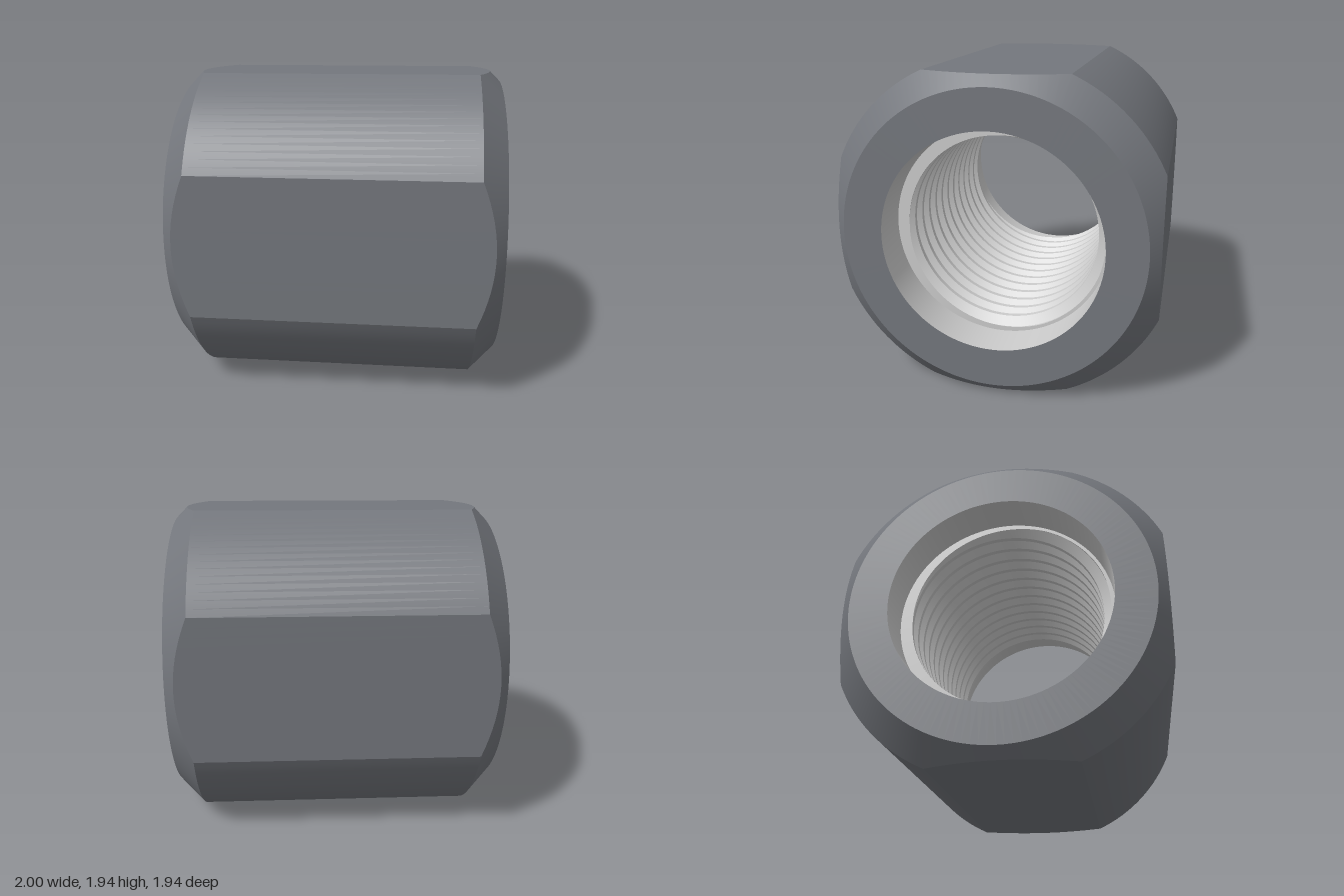
import * as THREE from 'three';
import { toCreasedNormals } from 'three/addons/utils/BufferGeometryUtils.js';

const FLAT = 0.968;        // half distance across the flats
const ROUND = 1.06;        // radius of the rounded corners
const FACE = 0.905;        // outer radius of the flat end faces
const BORE = 0.665;        // counterbore radius
const THREAD_END = 0.75;   // thread runs from -x to +x of this
const MINOR = 0.59, MAJOR = 0.645, PITCH = 0.12;

// Angles that land exactly on the borders between flats and rounded corners
function sectionAngles(n) {
  const a = Math.acos(FLAT / ROUND), angles = [];
  for (let q = 0; q < 4; q++) {
    const start = q * Math.PI / 2 - a;
    for (let i = 0; i < n; i++) angles.push(start + 2 * a * i / n);
    for (let i = 0; i < n; i++) angles.push(start + 2 * a + (Math.PI / 2 - 2 * a) * i / n);
  }
  angles.push(2 * Math.PI - a);
  return angles;
}

// Skin rows of [x, radius] around the x axis; each row is a function of the angle
function skin(rows, angles, crease) {
  const points = rows.map(row => angles.map(t => {
    const [x, r] = row(t);
    return new THREE.Vector3(x, r * Math.cos(t), r * Math.sin(t));
  }));
  const out = [], e1 = new THREE.Vector3(), e2 = new THREE.Vector3();
  const tri = (a, b, c) => {
    e1.subVectors(b, a);
    e2.subVectors(c, a);
    if (e1.cross(e2).length() < 1e-9) return;
    for (const p of [a, b, c]) out.push(p.x, p.y, p.z);
  };
  for (let i = 0; i < rows.length - 1; i++) {
    for (let j = 0; j < angles.length - 1; j++) {
      const a = points[i][j], b = points[i][j + 1];
      const c = points[i + 1][j], d = points[i + 1][j + 1];
      tri(a, b, c);
      tri(b, d, c);
    }
  }
  const g = new THREE.BufferGeometry();
  g.setAttribute('position', new THREE.Float32BufferAttribute(out, 3));
  return toCreasedNormals(g, crease);
}

// Outer radius: a circle cut by four flats
const outerRadius = t =>
  Math.min(ROUND, FLAT / Math.max(Math.abs(Math.cos(t)), Math.abs(Math.sin(t))));

// Trapezoid thread: crest, flank, root, flank
const STOPS = [0, 0.25, 0.56, 0.69];
function threadRadius(x, t) {
  let f = x / PITCH - t / (2 * Math.PI);
  f -= Math.floor(f);
  let k = 0;
  if (f > 0.69) k = (1 - f) / 0.31;
  else if (f > 0.56) k = 1;
  else if (f > 0.25) k = (f - 0.25) / 0.31;
  return MINOR + (MAJOR - MINOR) * k;
}

export function createModel() {
  const group = new THREE.Group();
  const dark = new THREE.MeshStandardMaterial({ color: 0x74777d });
  const light = new THREE.MeshStandardMaterial({ color: 0xcccccc });

  // Body with end faces and 45 degree chamfers that curve where they meet the flats
  const shoulder = t => 1 - (outerRadius(t) - FACE);
  const bodyRows = [
    () => [-1, BORE],
    () => [-1, FACE],
    t => [-shoulder(t), outerRadius(t)],
    t => [shoulder(t), outerRadius(t)],
    () => [1, FACE],
    () => [1, BORE],
  ];
  const angles = sectionAngles(16);
  const body = new THREE.Mesh(skin(bodyRows, angles, 0.17), dark);
  body.name = 'nutBody';

  // Bore: counterbore, helical thread, counterbore
  const boreRows = [() => [1, BORE], () => [THREAD_END, BORE]];
  const turns = Math.ceil(THREAD_END / PITCH) + 1;
  for (let k = turns; k >= -turns - 1; k--) {
    for (const s of [...STOPS].reverse()) {
      boreRows.push(t => {
        const x = THREE.MathUtils.clamp(
          PITCH * (k + s + t / (2 * Math.PI)), -THREAD_END, THREAD_END);
        return [x, threadRadius(x, t)];
      });
    }
  }
  boreRows.push(() => [-THREAD_END, BORE], () => [-1, BORE]);
  const bore = new THREE.Mesh(skin(boreRows, angles, 0.4), light);
  bore.name = 'threadedBore';

  group.add(body, bore);
  group.position.y = FLAT;
  const model = new THREE.Group();
  model.name = 'couplingNut';
  group.name = 'nut';
  model.add(group);
  return model;
}
